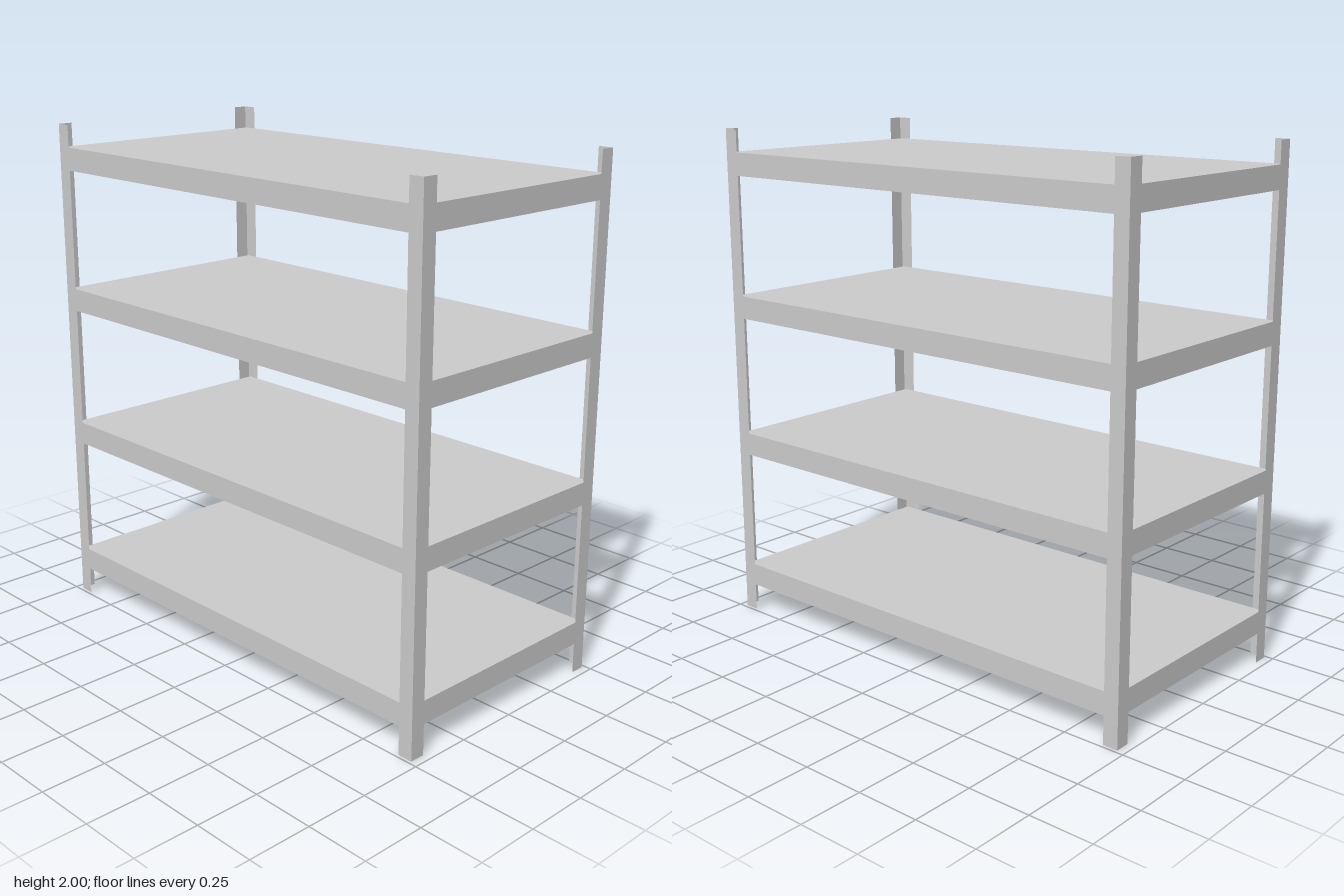
import * as THREE from 'three';

const metal = new THREE.MeshStandardMaterial({ color: 0xcccccc, side: THREE.DoubleSide, flatShading: true });

// Thin sheet of metal, facing +z until turned
function sheet(name, w, h, pos, rx = 0, ry = 0) {
  const mesh = new THREE.Mesh(new THREE.PlaneGeometry(w, h), metal);
  mesh.name = name;
  mesh.position.set(...pos);
  mesh.rotation.set(rx, ry, 0);
  return mesh;
}

// Angle-iron post with its outer corner at (sx * X, sz * Z)
function makePost(sx, sz) {
  const X = 0.968, Z = 0.487, flange = 0.06, height = 2;
  const post = new THREE.Group();
  post.name = (sz > 0 ? 'front' : 'back') + (sx > 0 ? 'Left' : 'Right') + 'Post';
  post.add(
    sheet('faceFlange', flange, height, [sx * (X - flange / 2), height / 2, sz * Z], 0, sz > 0 ? 0 : Math.PI),
    sheet('sideFlange', flange, height, [sx * X, height / 2, sz * (Z - flange / 2)], 0, sx * Math.PI / 2)
  );
  return post;
}

// Folded shelf tray: a deck with four lips, open underneath
function makeShelf(index, top) {
  const X = 0.951, Z = 0.479, lip = 0.091;
  const shelf = new THREE.Group();
  shelf.name = 'shelf' + (index + 1);
  shelf.position.y = top;
  shelf.add(sheet('deck', 2 * X, 2 * Z, [0, 0, 0], -Math.PI / 2));
  for (const s of [1, -1]) {
    shelf.add(
      sheet(s > 0 ? 'frontLip' : 'backLip', 2 * X, lip, [0, -lip / 2, s * Z], 0, s > 0 ? 0 : Math.PI),
      sheet(s > 0 ? 'leftLip' : 'rightLip', 2 * Z, lip, [s * X, -lip / 2, 0], 0, s * Math.PI / 2)
    );
  }
  return shelf;
}

export function createModel() {
  const rack = new THREE.Group();
  rack.name = 'shelvingRack';
  for (const sx of [1, -1]) for (const sz of [1, -1]) rack.add(makePost(sx, sz));
  for (let i = 0; i < 4; i++) rack.add(makeShelf(i, 0.196 + 0.5715 * i));
  return rack;
}
